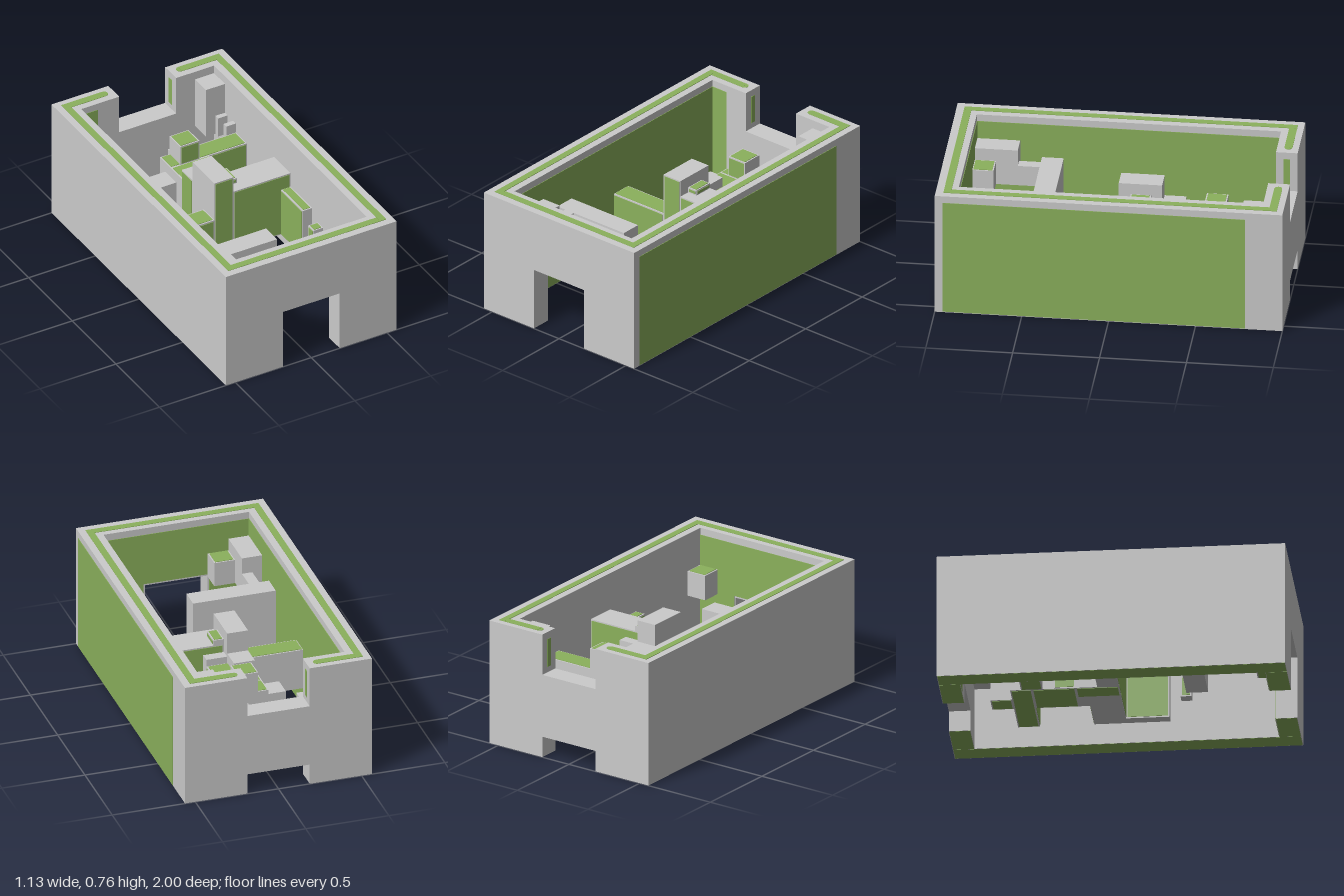
import * as THREE from 'three';

const grey = new THREE.MeshStandardMaterial({ color: 0xcccccc, flatShading: true });
const green = new THREE.MeshStandardMaterial({ color: 0x8bb15c, flatShading: true });
const U = 1 / 16; // layout unit: plan sizes below are multiples of this
const T = 0.003;  // relief of the green panels

export function createModel() {
  const model = new THREE.Group();

  const add = (name, geometry, material, parent = model) => {
    const mesh = new THREE.Mesh(geometry, material);
    mesh.name = name;
    parent.add(mesh);
    return mesh;
  };

  // Box given by its limits
  const box = (name, x0, x1, y0, y1, z0, z1, material = grey, parent = model) => {
    const mesh = add(name, new THREE.BoxGeometry(x1 - x0, y1 - y0, z1 - z0), material, parent);
    mesh.position.set((x0 + x1) / 2, (y0 + y1) / 2, (z0 + z1) / 2);
    return mesh;
  };

  // Grey block (plan in units, heights in metres) with inset green panels on chosen sides
  const block = (name, [x0, x1, z0, z1], y0, y1, sides = []) => {
    const group = new THREE.Group();
    group.name = name;
    model.add(group);
    const lo = [x0 * U, y0, z0 * U], hi = [x1 * U, y1, z1 * U];
    box(name + 'Body', lo[0], hi[0], lo[1], hi[1], lo[2], hi[2], grey, group);
    for (const side of sides) {
      const axis = 'xyz'.indexOf(side[1]);
      const a = lo.map((v) => v + 0.008), b = hi.map((v) => v - 0.008);
      const face = side[0] === '+' ? hi[axis] : lo[axis];
      a[axis] = face - T;
      b[axis] = face + T;
      box(name + 'Panel', a[0], b[0], a[1], b[1], a[2], b[2], green, group);
    }
  };

  // Outer walls
  const W = 0.5625, H = 0.752, IN = 0.4375, D = 0.1875, ZI = 0.875;
  const wall = (name, points, z) => {
    const shape = new THREE.Shape(points.map(([x, y]) => new THREE.Vector2(x, y)));
    const g = new THREE.ExtrudeGeometry(shape, { depth: 0.125, bevelEnabled: false });
    add(name, g, grey).position.z = z;
  };
  wall('frontWall', [[-W, 0], [-D, 0], [-D, 0.38], [D, 0.38], [D, 0], [W, 0], [W, H], [-W, H]], ZI);
  wall('backWall', [[-W, 0], [-D, 0], [-D, 0.125], [D, 0.125], [D, 0], [W, 0],
    [W, H], [D, H], [D, 0.505], [-D, 0.505], [-D, H], [-W, H]], -1);
  for (const s of [-1, 1]) {
    const [a, b] = s < 0 ? [-W, -IN] : [IN, W];
    box('sideWall', a, b, 0, H, -ZI, ZI);

    // Green inlay along the top of the walls, with round ends at the back notch
    const c = s * 0.5;
    box('topInlay', c - 0.02, c + 0.02, H - 0.01, H + T, -0.963, 0.955, green);
    const [p, q] = s < 0 ? [c, -0.25] : [0.25, c];
    box('topInlayBack', p, q, H - 0.01, H + T * 0.9, -0.963, -0.917, green);
    const cap = add('topInlayEnd', new THREE.CylinderGeometry(0.023, 0.023, 0.012, 12), green);
    cap.position.set(s * 0.25, H - 0.0035, -0.94);

    // Green underside of the walls
    box('wallUnderside', a + 0.003, b - 0.003, -0.001, 0.004, -0.997, 0.997, green);
    for (const z of [-0.9375, 0.9375]) {
      const [e, f] = s < 0 ? [-IN, -D - 0.003] : [D + 0.003, IN];
      box('wallUndersideEnd', e, f, -0.001, 0.004, z - 0.06, z + 0.06, green);
    }

    // Strips on the notch jambs and panels beside the door
    box('notchStrip', s * D - T, s * D + T, 0.54, 0.71, -0.955, -0.92, green);
    const [e, f] = s < 0 ? [-IN, -D - 0.01] : [D + 0.01, IN];
    box('frontInnerPanel', e, f, 0.004, 0.39, ZI - T, ZI + T, green);
  }
  box('topInlayFront', -0.5, 0.5, H - 0.01, H + T * 0.9, 0.912, 0.955, green);

  // Large wall panels
  box('outerPanel', W - T, W + T, 0.005, 0.71, -0.785, 0.955, green);
  box('sideInnerPanel', -IN - T, -IN + T, 0.004, 0.71, -ZI, ZI, green);
  box('frontInnerPanelTop', -IN, IN, 0.39, 0.71, ZI - T, ZI + T, green);
  box('backInnerPanel', -IN, -0.33, 0.004, 0.71, -ZI - T, -ZI + T, green);

  // Central partition
  block('tallBlock', [-1, 1, -4, 0], 0.125, 0.63, ['+z', '-y']);
  block('tallBlockStep', [-1, 1, -6, -4], 0.125, 0.5, ['-x']);
  block('partitionLow', [-7, -1, -2, 0], 0.125, 0.375, ['+y', '+z']);
  block('partitionHigh', [1, 7, -3, 0], 0.125, 0.53, ['+z', '-z']);
  block('partitionStep', [1, 3, -4, -3], 0.125, 0.48);
  block('partitionKnob', [1, 2, -3, -1.1], 0.53, 0.562, ['+y', '+z', '+x']);

  // Rear bench
  block('benchLong', [-1, 7, -10, -8], 0.125, 0.4375, ['+y', '+z', '-y']);
  block('benchShort', [-1, 3, -8, -4], 0.125, 0.4375, ['+y', '+x', '-y']);
  block('benchPost', [0, 2, -10, -8], 0.4375, 0.5625, ['+y', '+z']);
  block('benchBackStep', [1, 3, -12, -10], 0.125, 0.375, ['-y']);
  block('stool', [-3, -1, -9, -7], 0.125, 0.375, ['-y']);

  // Small lantern-like cube with a knob
  block('smallCube', [-6, -4, -9, -7], 0.125, 0.25);
  block('smallCubeKnob', [-5.6, -4.5, -8.6, -7.5], 0.25, 0.3);

  // Rear corner cabinet and brackets
  block('rearCabinet', [5, 7, -14, -12], 0.375, 0.7);
  block('rearBracket', [6, 7, -12, -11.5], 0.375, 0.5);
  block('rearBracket', [6, 7, -10.5, -10], 0.375, 0.5);

  // Side shelves
  block('sideShelf', [6, 7, 0, 4], 0.125, 0.4375, ['+y', '-x']);
  block('sideShelfSmall', [6, 7, 5, 6], 0.25, 0.375, ['+y', '-x']);

  // Screen behind the door and the front corner boxes
  block('screen', [-7, 1, 6, 8], 0.125, 0.5);
  block('screenLink', [-6, -5, 8, 10], 0.375, 0.5);
  block('cornerCabinet', [-7, -5, 10, 14], 0.375, 0.6, ['-y']);
  block('cornerBox', [-5, -3, 12, 14], 0.375, 0.525, ['+y', '-y']);
  block('cornerBox', [5, 7, 12, 14], 0.375, 0.525, ['+y', '-y']);

  model.position.y = 0.001;
  return model;
}
